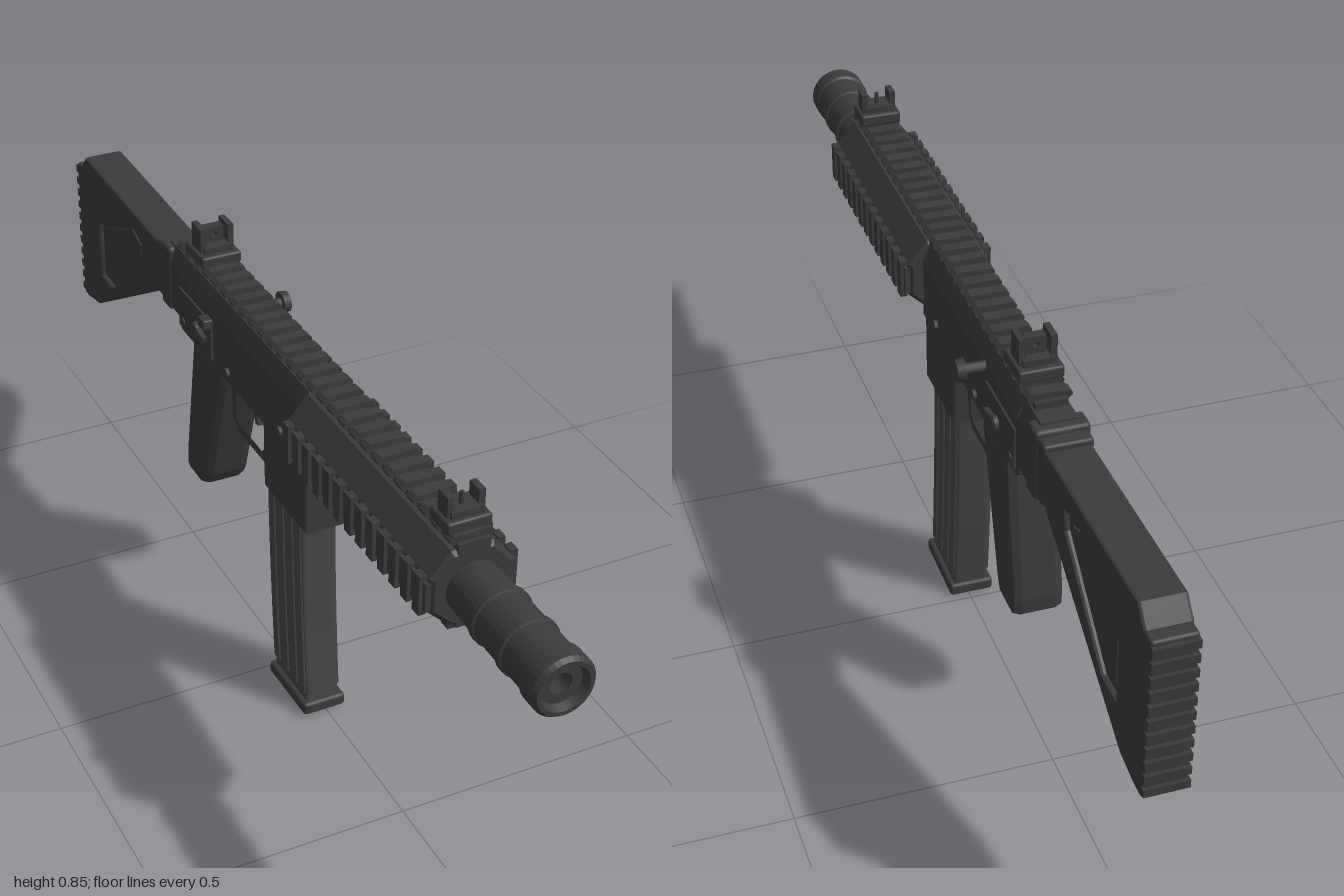
import * as THREE from 'three';
import { RoundedBoxGeometry } from 'three/addons/geometries/RoundedBoxGeometry.js';

const mat = (name, color) => new THREE.MeshStandardMaterial({ name, color });

export function createModel() {
  const root = new THREE.Group();
  root.name = 'carbine';
  const body = mat('dark grey body', 0x3b3b3b);
  const magGrey = mat('magazine grey', 0x454545);

  // Everything is arranged around the barrel plane, slightly off x = 0
  const add = (name, geo, x = 0, y = 0, z = 0, m = body, parent = root) => {
    const mesh = new THREE.Mesh(geo, m);
    mesh.name = name;
    mesh.position.set(x, y, z);
    parent.add(mesh);
    return mesh;
  };
  const group = (name) => {
    const g = new THREE.Group();
    g.name = name;
    root.add(g);
    return g;
  };
  const box = (w, h, d) => new THREE.BoxGeometry(w, h, d);
  const shapeOf = (pts) => new THREE.Shape(pts.map(([a, b]) => new THREE.Vector2(a, b)));

  // Side profile given as [z, y], extruded across x and centred
  const side = (pts, width, bevel = 0, holes = []) => {
    const s = shapeOf(pts);
    holes.forEach((h) => s.holes.push(shapeOf(h)));
    const g = new THREE.ExtrudeGeometry(s, {
      depth: width - 2 * bevel, bevelEnabled: bevel > 0, bevelSize: bevel,
      bevelThickness: bevel, bevelOffset: -bevel, bevelSegments: 2,
    });
    g.translate(0, 0, -(width - 2 * bevel) / 2);
    return g.rotateY(-Math.PI / 2);
  };
  // Cross-section given as [x, y], extruded from z0 to z1
  const along = (pts, z0, z1, bevel = 0) => {
    const g = new THREE.ExtrudeGeometry(shapeOf(pts), {
      depth: z1 - z0 - 2 * bevel, bevelEnabled: bevel > 0, bevelSize: bevel,
      bevelThickness: bevel, bevelOffset: -bevel, bevelSegments: 1,
    });
    return g.translate(0, 0, z0 + bevel);
  };
  const mirrored = (half) => [...half, ...half.map(([x, y]) => [-x, y]).reverse()];

  // Muzzle tube with raised rings and a recessed bore
  const tube = [[0, 0.7], [0.05, 0.7]];
  for (const z of [0.80, 0.885]) {
    tube.push([0.053, z - 0.008], [0.057, z - 0.006], [0.057, z + 0.006], [0.053, z + 0.008]);
  }
  tube.push([0.053, 0.952], [0.058, 0.956], [0.058, 0.992], [0.052, 1], [0.044, 1],
    [0.038, 0.985], [0.02, 0.985], [0.02, 0.93], [0, 0.93]);
  const tubeGeo = new THREE.LatheGeometry(tube.map(([r, z]) => new THREE.Vector2(r, z)), 32)
    .rotateX(Math.PI / 2).toNonIndexed();
  tubeGeo.computeVertexNormals();
  add('muzzleTube', tubeGeo, 0, 0.68, 0);

  // Octagonal handguard
  add('handguard', along(mirrored([[0.036, 0.605], [0.078, 0.645], [0.078, 0.712], [0.04, 0.757]]),
    0.165, 0.71, 0.008));

  // Toothed rails: top, bottom and both sides
  const rail = (name, z0, z1, place) => {
    const g = group(name);
    place(g, z1 - z0, (z0 + z1) / 2, true);
    const n = Math.round((z1 - z0) / 0.0425);
    const step = (z1 - z0) / n;
    for (let i = 0; i < n; i++) place(g, step * 0.55, z0 + (i + 0.5) * step, false);
  };
  rail('topRail', -0.43, 0.71, (g, d, z, base) => base
    ? add('railBase', box(0.06, 0.022, d), 0, 0.759, z, body, g)
    : add('railTooth', along(mirrored([[0.034, 0.764], [0.041, 0.770], [0.041, 0.775], [0.033, 0.782]]),
      -d / 2, d / 2), 0, 0, z, body, g));
  rail('bottomRail', 0.17, 0.705, (g, d, z, base) =>
    add(base ? 'railBase' : 'railTooth', box(base ? 0.05 : 0.07, 0.014, d), 0, base ? 0.604 : 0.598, z, body, g));
  for (const s of [-1, 1]) {
    rail(s > 0 ? 'leftRail' : 'rightRail', 0.17, 0.705, (g, d, z, base) =>
      add(base ? 'railBase' : 'railTooth', box(0.014, base ? 0.056 : 0.078, d),
        s * (base ? 0.078 : 0.085), 0.677, z, body, g));
  }

  // Receiver with sloped shoulders, and the stock joint behind it
  add('receiver', along(mirrored([[0.049, 0.597], [0.05, 0.72], [0.034, 0.757]]), -0.395, 0.175, 0.004));
  add('receiverRear', along(mirrored([[0.046, 0.618], [0.046, 0.72], [0.034, 0.757]]), -0.47, -0.38));
  add('stockJoint', new RoundedBoxGeometry(0.102, 0.142, 0.045, 2, 0.008), 0, 0.682, -0.467);
  add('stockCollar', new RoundedBoxGeometry(0.092, 0.125, 0.04, 2, 0.006), 0, 0.68, -0.498);

  // Receiver side details
  for (const s of [-1, 1]) {
    add('sidePanel', box(0.006, 0.085, 0.16), s * 0.051, 0.653, -0.31);
    for (const [z, y] of [[0.08, 0.625], [-0.16, 0.62], [-0.37, 0.625]]) {
      add('pin', new THREE.CylinderGeometry(0.01, 0.01, 0.008, 12).rotateZ(Math.PI / 2), s * 0.052, y, z);
    }
    add('selectorHub', new THREE.CylinderGeometry(0.016, 0.016, 0.016, 16).rotateZ(Math.PI / 2),
      s * 0.054, 0.648, -0.295);
    add('selectorLever', box(0.01, 0.012, 0.05), s * 0.059, 0.651, -0.275).rotation.x = 0.2;
  }
  add('boltHandleStem', new THREE.CylinderGeometry(0.011, 0.011, 0.05, 12).rotateZ(Math.PI / 2), 0.07, 0.715, -0.212);
  add('boltHandleKnob', new THREE.CylinderGeometry(0.023, 0.02, 0.016, 16).rotateZ(Math.PI / 2), 0.096, 0.715, -0.212);
  add('boltCatch', new RoundedBoxGeometry(0.024, 0.022, 0.03, 2, 0.004), -0.058, 0.69, -0.245);

  // Magazine well
  add('magazineWell', side([[0.175, 0.605], [0.175, 0.448], [-0.008, 0.448], [-0.012, 0.605]], 0.088, 0.005));

  // Curved magazine: a and b are the front and back offsets from its centre line
  const centre = (y) => 0.068 + 0.028 * ((0.47 - y) / 0.45) ** 1.5;
  const band = (a, b, y0, y1) => {
    const pts = [];
    for (let i = 0; i <= 8; i++) {
      const y = y0 + (y1 - y0) * i / 8;
      pts.push([centre(y) + a, y]);
    }
    for (let i = 8; i >= 0; i--) {
      const y = y0 + (y1 - y0) * i / 8;
      pts.push([centre(y) + b, y]);
    }
    return pts;
  };
  add('magazine', side(band(-0.074, 0.074, 0.02, 0.47), 0.07, 0.006), 0, 0, 0, magGrey);
  for (const [a, b] of [[-0.07, -0.045], [-0.03, -0.005], [0.01, 0.035], [0.05, 0.07]]) {
    add('magazineRib', side(band(a, b, 0.05, 0.465), 0.078, 0.003), 0, 0, 0, magGrey);
  }
  add('magazineFloor', new RoundedBoxGeometry(0.09, 0.027, 0.165, 2, 0.007), 0, 0.016, 0.097).rotation.x = -0.03;

  // Grip
  add('grip', side([[-0.195, 0.605], [-0.205, 0.56], [-0.287, 0.295], [-0.302, 0.268], [-0.318, 0.262],
    [-0.375, 0.262], [-0.39, 0.275], [-0.39, 0.305], [-0.338, 0.605]], 0.104, 0.02));

  // Trigger guard with an open middle, and the trigger
  add('triggerGuard', side(
    [[-0.025, 0.605], [-0.03, 0.49], [-0.055, 0.465], [-0.18, 0.465], [-0.205, 0.49], [-0.21, 0.605]],
    0.044, 0.003,
    [[[-0.045, 0.594], [-0.048, 0.498], [-0.063, 0.483], [-0.172, 0.483], [-0.187, 0.498], [-0.19, 0.594]]]));
  add('trigger', side([[-0.11, 0.605], [-0.122, 0.56], [-0.108, 0.515], [-0.122, 0.512], [-0.138, 0.555],
    [-0.142, 0.605]], 0.02, 0.003));
  add('magazineRelease', new THREE.CylinderGeometry(0.013, 0.013, 0.03, 12).rotateZ(Math.PI / 2), 0, 0.565, -0.16);

  // Stock with a sunken panel on both sides
  const recess = [[-0.61, 0.678], [-0.67, 0.698], [-0.87, 0.605], [-0.87, 0.48], [-0.805, 0.48], [-0.618, 0.64]];
  add('stock', side([[-0.5, 0.73], [-0.935, 0.739], [-0.965, 0.705], [-0.965, 0.38], [-0.9, 0.392], [-0.5, 0.63]],
    0.086, 0.006, [recess]));
  add('stockPanel', side(recess.map(([z, y]) => [z * 1.04 + 0.03, y * 1.04 - 0.024]), 0.064));
  add('stockInset', side(recess.map(([z, y]) => [z * 0.82 - 0.137, y * 0.82 + 0.108]), 0.072, 0.003));

  // Ribbed butt pad
  add('buttPad', new RoundedBoxGeometry(0.082, 0.328, 0.035, 2, 0.006), 0, 0.54, -0.975);
  for (let i = 0; i < 11; i++) {
    add('buttRib', box(0.082, 0.016, 0.03), 0, 0.393 + i * 0.0294, -0.985);
  }

  // Folding sights: a clamp base, two posts and a bored or pinned centre
  const sight = (name, z, length, top) => {
    const g = group(name);
    add('sightBase', new RoundedBoxGeometry(0.084, 0.024, length, 2, 0.005), 0, 0.79, z, body, g);
    add('sightBlock', box(0.06, 0.016, length * 0.7), 0, 0.807, z, body, g);
    for (const s of [-1, 1]) {
      add('sightPost', box(0.012, top - 0.8, length * 0.5), s * 0.029, (top + 0.8) / 2, z, body, g);
    }
    return g;
  };
  const front = sight('frontSight', 0.66, 0.065, 0.842);
  add('sightPin', new THREE.CylinderGeometry(0.004, 0.006, 0.035, 8), 0, 0.82, 0.66, body, front);
  const rear = sight('rearSight', -0.335, 0.088, 0.853);
  const plate = shapeOf([[-0.019, 0.805], [0.019, 0.805], [0.019, 0.848], [-0.019, 0.848]]);
  plate.holes.push(new THREE.Path().absarc(0, 0.832, 0.006, 0, Math.PI * 2, true));
  add('aperture', new THREE.ExtrudeGeometry(plate, { depth: 0.02, bevelEnabled: false }), 0, 0, -0.345, body, rear);

  root.children.forEach((c) => { c.position.x -= 0.006; });
  return root;
}
